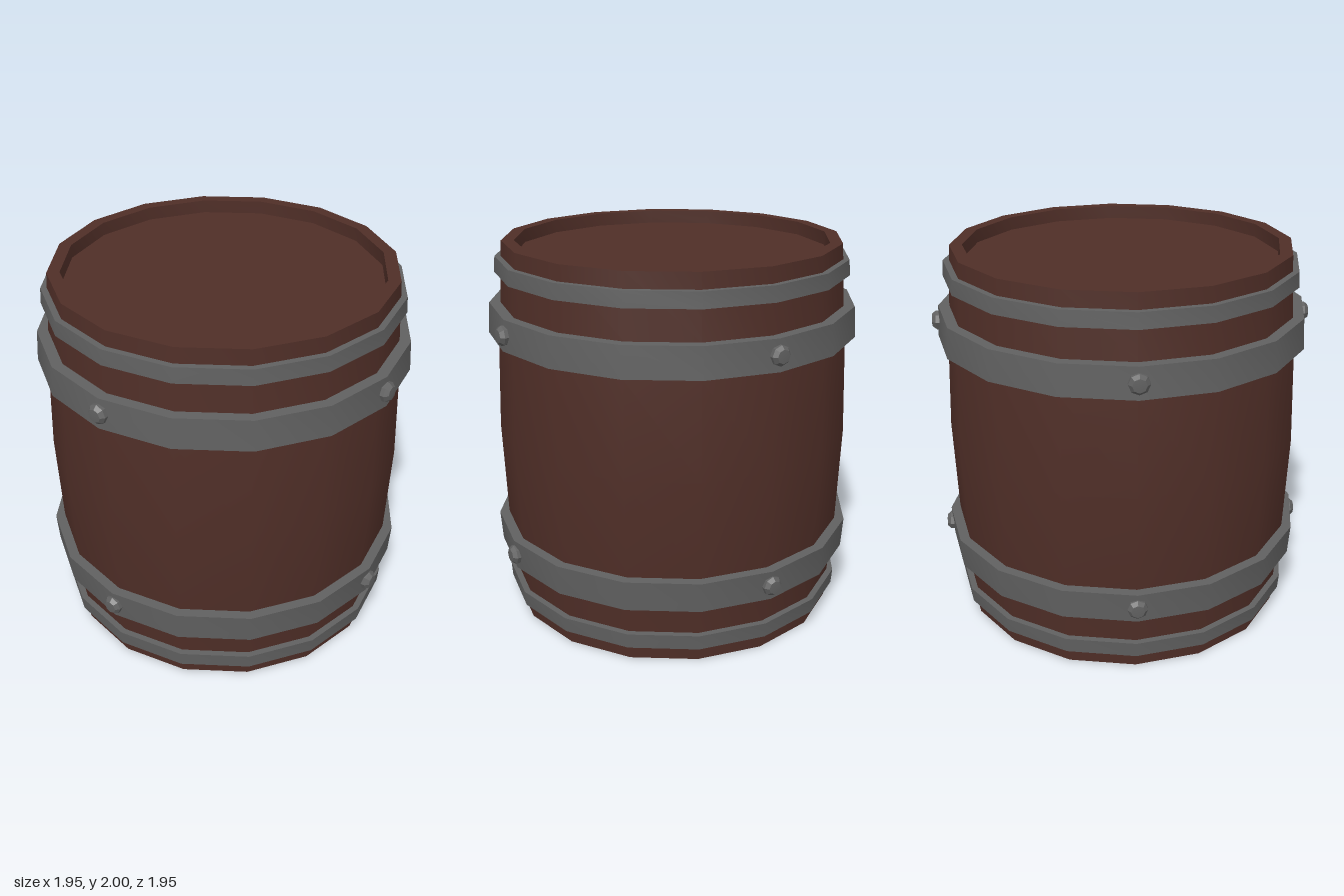
import * as THREE from 'three';
import { toCreasedNormals } from 'three/addons/utils/BufferGeometryUtils.js';

const SIDES = 16;
const wood = new THREE.MeshStandardMaterial({ color: 0x4f2e27 });
const iron = new THREE.MeshStandardMaterial({ color: 0x606060 });

// Turns a closed [radius, y] outline, listed up the outside and down the inside
function turned(name, outline, material, sides = SIDES) {
  const points = outline.map(([r, y]) => new THREE.Vector2(r, y));
  const geometry = toCreasedNormals(new THREE.LatheGeometry(points, sides), 0.5);
  const mesh = new THREE.Mesh(geometry, material);
  mesh.name = name;
  return mesh;
}

// Hoop between two heights, leaning with the bulge of the barrel
function hoop(name, y0, y1, r0, r1, thickness) {
  return turned(name, [
    [r0 - thickness, y0], [r0, y0], [r1, y1], [r1 - thickness, y1], [r0 - thickness, y0],
  ], iron);
}

// Flat recessed barrel end
function head(name, y, up) {
  const mesh = new THREE.Mesh(new THREE.CircleGeometry(0.82, SIDES), wood);
  mesh.rotation.x = up ? -Math.PI / 2 : Math.PI / 2;
  mesh.position.y = y;
  mesh.name = name;
  return mesh;
}

// Chamfered rivet pointing outward at the given angle
function rivet(name, angle, y) {
  const pivot = new THREE.Group();
  const mesh = turned('rivetHead', [
    [0.052, 0], [0.052, 0.055], [0.035, 0.075], [0.0001, 0.078],
  ], iron, 8);
  mesh.rotation.x = Math.PI / 2;
  mesh.position.z = 0.922;
  pivot.add(mesh);
  pivot.rotation.y = angle;
  pivot.position.y = y;
  pivot.name = name;
  return pivot;
}

export function createModel() {
  const barrel = new THREE.Group();
  barrel.name = 'barrel';

  // Bulging wall with a raised rim at both ends
  barrel.add(turned('wall', [
    [0.885, 0], [0.905, 0.32], [0.922, 0.5], [0.94, 1], [0.922, 1.5], [0.905, 1.68], [0.885, 2],
    [0.82, 2], [0.82, 1.93], [0.82, 0.07], [0.82, 0], [0.885, 0],
  ], wood));
  barrel.add(head('topHead', 1.93, true), head('bottomHead', 0.07, false));

  // Narrow end hoops and wide riveted hoops
  barrel.add(
    hoop('bottomNarrowHoop', 0.08, 0.16, 0.922, 0.928, 0.05),
    hoop('lowerWideHoop', 0.32, 0.48, 0.962, 0.973, 0.07),
    hoop('upperWideHoop', 1.52, 1.68, 0.973, 0.962, 0.07),
    hoop('topNarrowHoop', 1.84, 1.92, 0.928, 0.922, 0.05),
  );

  // Four rivets around each wide hoop
  for (const [level, y] of [['lower', 0.4], ['upper', 1.6]]) {
    for (let i = 0; i < 4; i++) {
      barrel.add(rivet(`${level}Rivet${i + 1}`, Math.PI / 4 + i * Math.PI / 2, y));
    }
  }
  return barrel;
}
